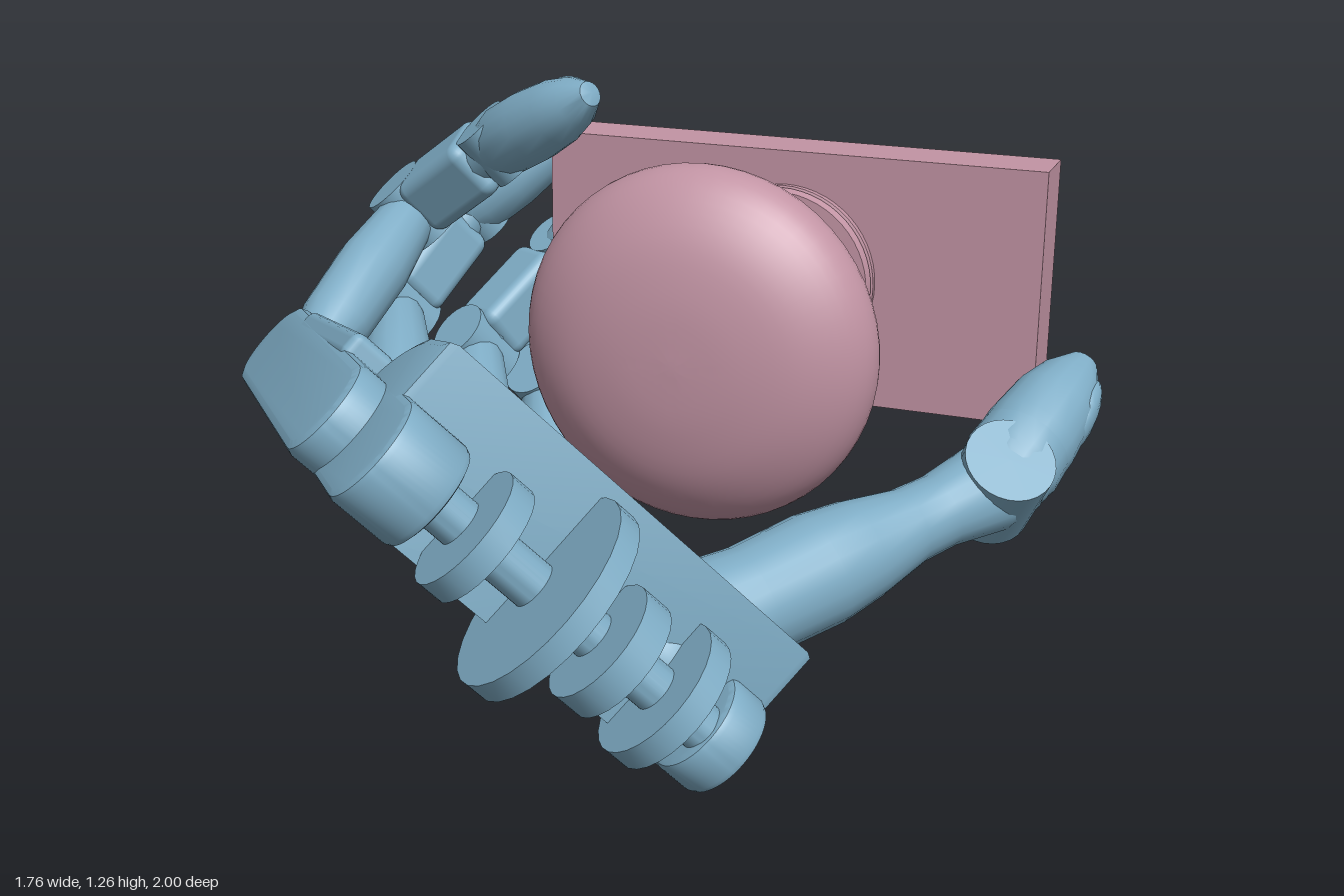
import * as THREE from 'three';
import { toCreasedNormals } from 'three/addons/utils/BufferGeometryUtils.js';
import { RoundedBoxGeometry } from 'three/addons/geometries/RoundedBoxGeometry.js';

const V = (x, y, z) => new THREE.Vector3(x, y, z);
const blue = new THREE.MeshStandardMaterial({ color: 0x7fadc6 });
const pink = new THREE.MeshStandardMaterial({ color: 0xc294a4 });

function add(parent, name, geo, mat, pos) {
  const m = new THREE.Mesh(geo, mat);
  m.name = name;
  if (pos) m.position.copy(pos);
  parent.add(m);
  return m;
}

const lathe = (pts, seg) =>
  toCreasedNormals(new THREE.LatheGeometry(pts.map(p => new THREE.Vector2(...p)), seg), 0.7);

// Side profile (length, thickness) extruded across the hand from x0 to x1
function slab(shape, x0, x1, bevel = 0.015) {
  const g = new THREE.ExtrudeGeometry(shape, {
    depth: x1 - x0 - 2 * bevel, bevelSize: bevel, bevelThickness: bevel,
    bevelOffset: -bevel, bevelSegments: 2, curveSegments: 14,
  });
  g.translate(0, 0, x0 + bevel);
  g.applyMatrix4(new THREE.Matrix4().makeBasis(V(0, 1, 0), V(0, 0, 1), V(1, 0, 0)));
  return toCreasedNormals(g, 0.6);
}

// Bar with two round ends
function stadium(y0, y1, z, r) {
  const s = new THREE.Shape();
  s.absarc(y1, z, r, -Math.PI / 2, Math.PI / 2, false);
  s.absarc(y0, z, r, Math.PI / 2, Math.PI * 1.5, false);
  s.closePath();
  return s;
}

// Disc whose axis runs across the hand
function disc(r, w) {
  return toCreasedNormals(new THREE.CylinderGeometry(r, r, w, 28).rotateZ(Math.PI / 2), 0.6);
}

// Group whose y runs from a to b and whose x is the bending axis
function segment(parent, name, a, b, axis) {
  const g = new THREE.Group();
  const y = b.clone().sub(a).normalize();
  const x = axis.clone().addScaledVector(y, -axis.dot(y)).normalize();
  g.quaternion.setFromRotationMatrix(new THREE.Matrix4().makeBasis(x, y, x.clone().cross(y)));
  g.position.copy(a);
  g.name = name;
  parent.add(g);
  return g;
}

// Tapered fingertip with a thin nail on its outer side
function fingertip(g, len, r) {
  const pts = [[0, -0.03], [r * 0.8, -0.02], [r, 0.03], [r * 1.02, len * 0.45], [r * 0.92, len * 0.75],
    [r * 0.7, len * 0.98], [r * 0.35, len + r * 0.55], [0, len + r * 0.65]];
  add(g, 'tip', lathe(pts, 18), blue);
  const nail = add(g, 'nail', new THREE.SphereGeometry(1, 16, 10), blue, V(0, len * 0.8, -r * 0.62));
  nail.scale.set(r * 0.62, r * 0.95, r * 0.32);
  nail.rotation.x = 0.2;
}

function finger(parent, name, pts, r) {
  const [k, p, d, t] = pts;
  const axis = p.clone().sub(k).cross(t.clone().sub(p)).normalize();
  const f = new THREE.Group();
  f.name = name;
  parent.add(f);
  // Long first link
  const a = segment(f, 'proximalLink', k, p, axis);
  const la = k.distanceTo(p);
  add(a, 'root', disc(r, r * 1.7), blue);
  add(a, 'shaft', lathe([[0, 0], [r * 0.7, 0.01], [r * 0.8, 0.08], [r, 0.15], [r * 1.05, la * 0.6],
    [r * 0.85, la - 0.06], [r * 0.7, la], [0, la]], 16), blue);
  add(a, 'joint', disc(r * 0.95, r * 1.9), blue, V(0, la, 0));
  // Short blocky middle link
  const b = segment(f, 'middleLink', p, d, axis);
  const lb = p.distanceTo(d);
  add(b, 'block', new RoundedBoxGeometry(r * 1.85, lb * 0.72, r * 1.85, 3, 0.03), blue, V(0, lb * 0.48, -r * 0.08));
  add(b, 'core', lathe([[0, 0], [r * 0.75, 0], [r * 0.75, lb], [0, lb]], 14), blue);
  add(b, 'joint', disc(r * 0.85, r * 1.7), blue, V(0, lb, 0));
  // Tip
  fingertip(segment(f, 'distalLink', d, t, axis), d.distanceTo(t), r);
}

export function createModel() {
  const model = new THREE.Group();
  model.name = 'handOnKnob';

  // Plate, rosette and knob
  const handle = new THREE.Group();
  handle.name = 'doorKnob';
  model.add(handle);
  add(handle, 'plate', new THREE.BoxGeometry(1.14, 0.566, 0.135), pink, V(0.15, 0.772, -0.655));
  const outline = new THREE.SplineCurve([[0.11, 0.16], [0.115, 0.24], [0.16, 0.31], [0.25, 0.4], [0.335, 0.48],
    [0.37, 0.55], [0.34, 0.62], [0.25, 0.68], [0.13, 0.71], [0, 0.718]].map(p => new THREE.Vector2(...p)));
  const profile = [[0, 0], [0.21, 0], [0.212, 0.022], [0.195, 0.028], [0.21, 0.034], [0.205, 0.055],
    [0.13, 0.058], [0.112, 0.075], ...outline.getPoints(40).map(p => [Math.max(p.x, 0), p.y])];
  const knob = add(handle, 'knob', lathe(profile, 56), pink, V(0.145, 0.77, -0.588));
  knob.rotation.x = Math.PI / 2;

  // Palm frame: x to the thumb side, y to the fingers, z out of the palm
  const palm = new THREE.Group();
  palm.name = 'palm';
  palm.quaternion.setFromRotationMatrix(new THREE.Matrix4().makeBasis(
    V(0.622, -0.703, -0.346), V(-0.607, -0.154, -0.78), V(0.495, 0.695, -0.523)));
  palm.position.set(-0.15, 0.44, 0.355);
  model.add(palm);
  palm.updateMatrix();

  const body = new THREE.Shape();
  body.moveTo(-0.44, -0.085);
  body.lineTo(0.45, -0.085);
  body.lineTo(0.47, 0.04);
  body.lineTo(0.12, 0.07);
  body.quadraticCurveTo(-0.1, 0.09, -0.22, 0.18);
  body.lineTo(-0.46, 0.2);
  body.closePath();
  add(palm, 'palmBody', slab(body, -0.3, 0.45), blue);

  // Raised cover along the wrist
  const cover = new THREE.Shape();
  cover.moveTo(-0.46, 0.03);
  cover.lineTo(-0.2, 0.03);
  cover.quadraticCurveTo(-0.18, 0.17, -0.34, 0.23);
  cover.lineTo(-0.47, 0.245);
  cover.closePath();
  add(palm, 'wristCover', slab(cover, -0.44, 0.46, 0.02), blue);

  // Thumb mound and socket
  const mound = add(palm, 'thumbMound', new THREE.SphereGeometry(1, 28, 18), blue, V(0.28, -0.24, 0.06));
  mound.scale.set(0.2, 0.24, 0.15);

  // Separate outer metacarpal
  add(palm, 'outerMetacarpal', slab(stadium(-0.32, 0.47, 0.015, 0.1), -0.5, -0.325, 0.02), blue);
  const rail = add(palm, 'metacarpalRail', new RoundedBoxGeometry(0.1, 0.5, 0.06, 2, 0.02), blue, V(-0.45, 0.1, 0.11));
  rail.rotation.x = -0.06;

  // Wrist hinge: end lugs, thin discs and pin
  add(palm, 'wristLug', slab(stadium(-0.53, -0.3, 0.02, 0.105), -0.44, -0.3), blue);
  add(palm, 'wristLug', slab(stadium(-0.45, -0.2, 0.02, 0.105), 0.36, 0.45), blue);
  for (const [x, r, w] of [[-0.03, 0.2, 0.045], [-0.2, 0.12, 0.05], [0.12, 0.12, 0.06], [0.27, 0.14, 0.05]])
    add(palm, 'wristDisc', disc(r, w), blue, V(x, -0.53 + (x > 0.2 ? 0.04 : 0), 0.02));
  add(palm, 'wristPin', disc(0.045, 0.76), blue, V(0, -0.5, 0.02));

  // Knuckle lugs, with thin ridges running back over the palm
  const roots = [[0.375, 0.57], [0.13, 0.57], [-0.12, 0.55], [-0.4, 0.52]].map(([x, y], i) => {
    if (i < 3) {
      add(palm, 'knuckleLug', slab(stadium(0.3, y, 0.0, 0.085), x - 0.075, x + 0.075), blue);
      for (const s of [-1, 1])
        add(palm, 'knuckleRidge', slab(stadium(0.18, y - 0.04, 0.05, 0.05), x + s * 0.055 - 0.015, x + s * 0.055 + 0.015, 0.004), blue);
    }
    return V(x, y, 0.015).applyMatrix4(palm.matrix);
  });

  // Fingers curling behind the plate, and the outer one above it
  const bends = [
    ['indexFinger', V(-0.48, 0.41, -0.68), V(-0.46, 0.55, -0.91), V(-0.22, 0.69, -0.88)],
    ['middleFinger', V(-0.64, 0.5, -0.62), V(-0.5, 0.7, -0.85), V(-0.25, 0.89, -0.83)],
    ['ringFinger', V(-0.79, 0.62, -0.5), V(-0.68, 0.83, -0.7), V(-0.48, 1.0, -0.78)],
    ['littleFinger', V(-0.69, 0.89, -0.42), V(-0.44, 1.07, -0.35), V(-0.21, 1.2, -0.25)],
  ];
  bends.forEach(([name, p, d, t], i) => finger(model, name, [roots[i], p, d, t], 0.078));

  // Thumb: socket ball, waisted link, knuckle and tip
  const thumb = new THREE.Group();
  thumb.name = 'thumb';
  model.add(thumb);
  const [t0, t1, t2] = [V(0.2, 0.27, 0.3), V(0.71, 0.46, -0.3), V(0.8, 0.61, -0.57)];
  const axis = t1.clone().sub(t0).cross(t2.clone().sub(t1));
  const base = segment(thumb, 'thumbBase', t0, t1, axis);
  const len = t0.distanceTo(t1);
  add(base, 'shaft', lathe([[0, -0.12], [0.08, -0.1], [0.125, -0.02], [0.13, 0.08], [0.115, 0.2], [0.118, 0.36],
    [0.105, 0.46], [0.08, 0.58], [0.078, 0.66], [0.095, len - 0.03], [0.085, len + 0.05], [0, len + 0.08]], 20), blue);
  add(base, 'joint', disc(0.095, 0.19), blue, V(0, len, 0));
  const end = segment(thumb, 'thumbEnd', t1, t2, axis);
  add(end, 'collar', lathe([[0, 0], [0.085, 0], [0.105, 0.06], [0.1, 0.14], [0, 0.14]], 18), blue);
  fingertip(end, t1.distanceTo(t2), 0.1);

  return model;
}
